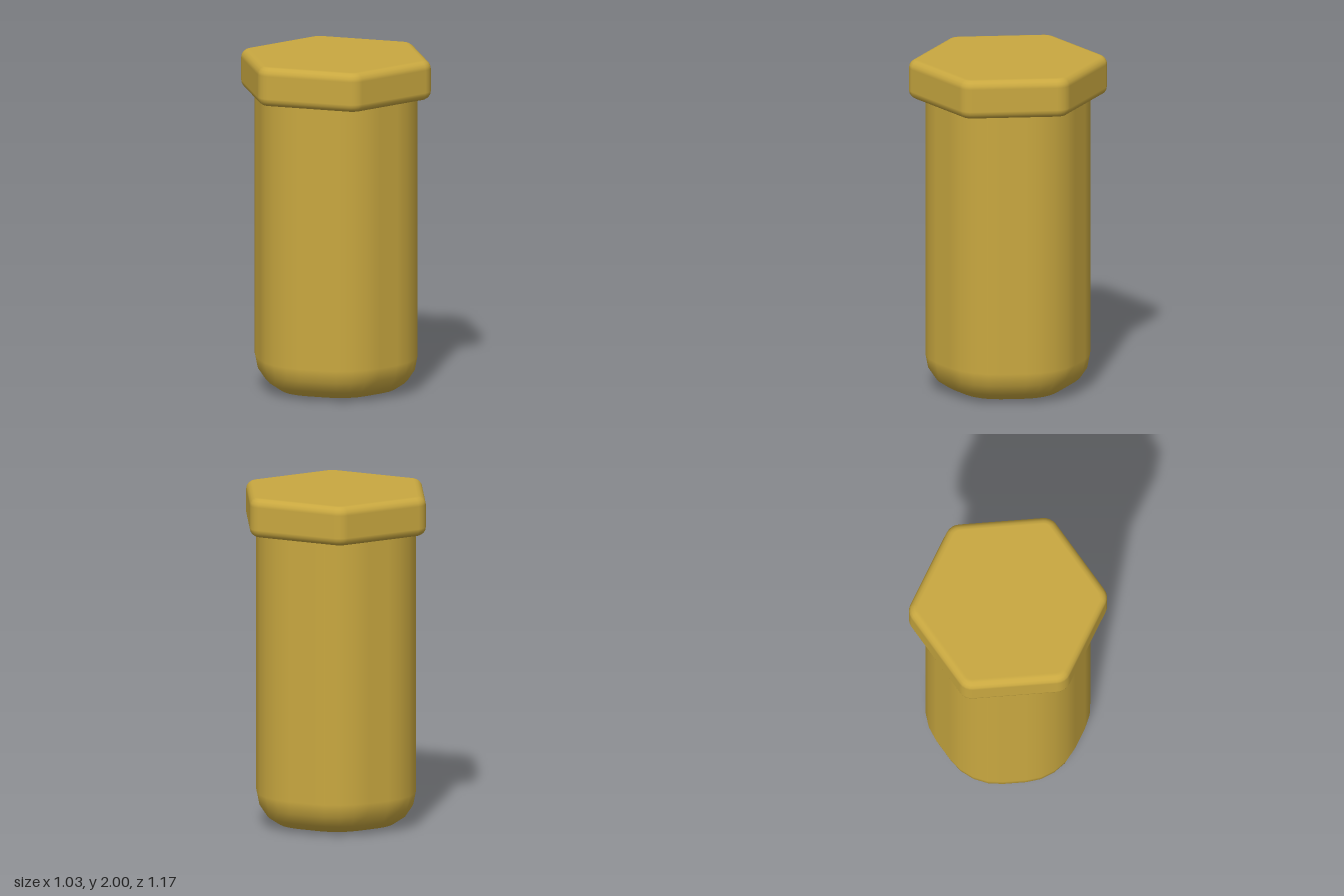
import * as THREE from 'three';

const brass = new THREE.MeshStandardMaterial({ color: 0xc9a840 });
brass.name = 'brass';

// Hexagonal prism with rounded corners. Each row is [corner radius, y, normal tilt], bottom to top.
function roundedHex(apothem, cornerRadius, rows, cornerSegments) {
  const pos = [], nor = [], idx = [];
  const core = (apothem - cornerRadius) / Math.cos(Math.PI / 6);
  const perRing = 6 * (cornerSegments + 1);

  const addRing = ([r, y, tilt], flatNormal) => {
    for (let k = 0; k < 6; k++) {
      const c = k * Math.PI / 3;
      for (let s = 0; s <= cornerSegments; s++) {
        const t = c + (s / cornerSegments - 0.5) * Math.PI / 3;
        pos.push(core * Math.sin(c) + r * Math.sin(t), y, core * Math.cos(c) + r * Math.cos(t));
        if (flatNormal) nor.push(0, flatNormal, 0);
        else nor.push(Math.sin(t) * Math.cos(tilt), Math.sin(tilt), Math.cos(t) * Math.cos(tilt));
      }
    }
  };

  // Sides and rounded edges
  rows.forEach((row) => addRing(row, 0));
  for (let i = 0; i < rows.length - 1; i++) {
    for (let j = 0; j < perRing; j++) {
      const a = i * perRing + j, b = i * perRing + (j + 1) % perRing;
      idx.push(a, b, b + perRing, a, b + perRing, a + perRing);
    }
  }

  // Flat end caps
  for (const [row, n] of [[rows[0], -1], [rows[rows.length - 1], 1]]) {
    const start = pos.length / 3;
    addRing(row, n);
    const center = pos.length / 3;
    pos.push(0, row[1], 0);
    nor.push(0, n, 0);
    for (let j = 0; j < perRing; j++) {
      const a = start + j, b = start + (j + 1) % perRing;
      if (n > 0) idx.push(center, a, b);
      else idx.push(center, b, a);
    }
  }

  const g = new THREE.BufferGeometry();
  g.setAttribute('position', new THREE.Float32BufferAttribute(pos, 3));
  g.setAttribute('normal', new THREE.Float32BufferAttribute(nor, 3));
  g.setIndex(idx);
  return g;
}

// Quarter-round edge rows; side -1 is a bottom edge, +1 a top edge
function edgeRows(cornerRadius, bevel, yEnd, side, segments) {
  const rows = [];
  for (let i = 0; i <= segments; i++) {
    const t = (i / segments) * Math.PI / 2;
    rows.push([cornerRadius - bevel * (1 - Math.cos(t)), yEnd - side * bevel * (1 - Math.sin(t)), side * t]);
  }
  return side < 0 ? rows.reverse() : rows;
}

export function createModel() {
  const group = new THREE.Group();
  group.name = 'hexBolt';

  // Shaft with a broad rounded foot, running up into the head
  const shaftRows = [...edgeRows(0.35, 0.2, 0, -1, 4), [0.35, 1.8, 0]];
  const shaft = new THREE.Mesh(roundedHex(0.467, 0.35, shaftRows, 4), brass);
  shaft.name = 'shaft';

  // Wider hexagonal head with softened edges
  const headRows = [...edgeRows(0.09, 0.05, 1.765, -1, 4), ...edgeRows(0.09, 0.05, 2, 1, 4)];
  const head = new THREE.Mesh(roundedHex(0.517, 0.09, headRows, 4), brass);
  head.name = 'head';

  group.add(shaft, head);
  return group;
}
